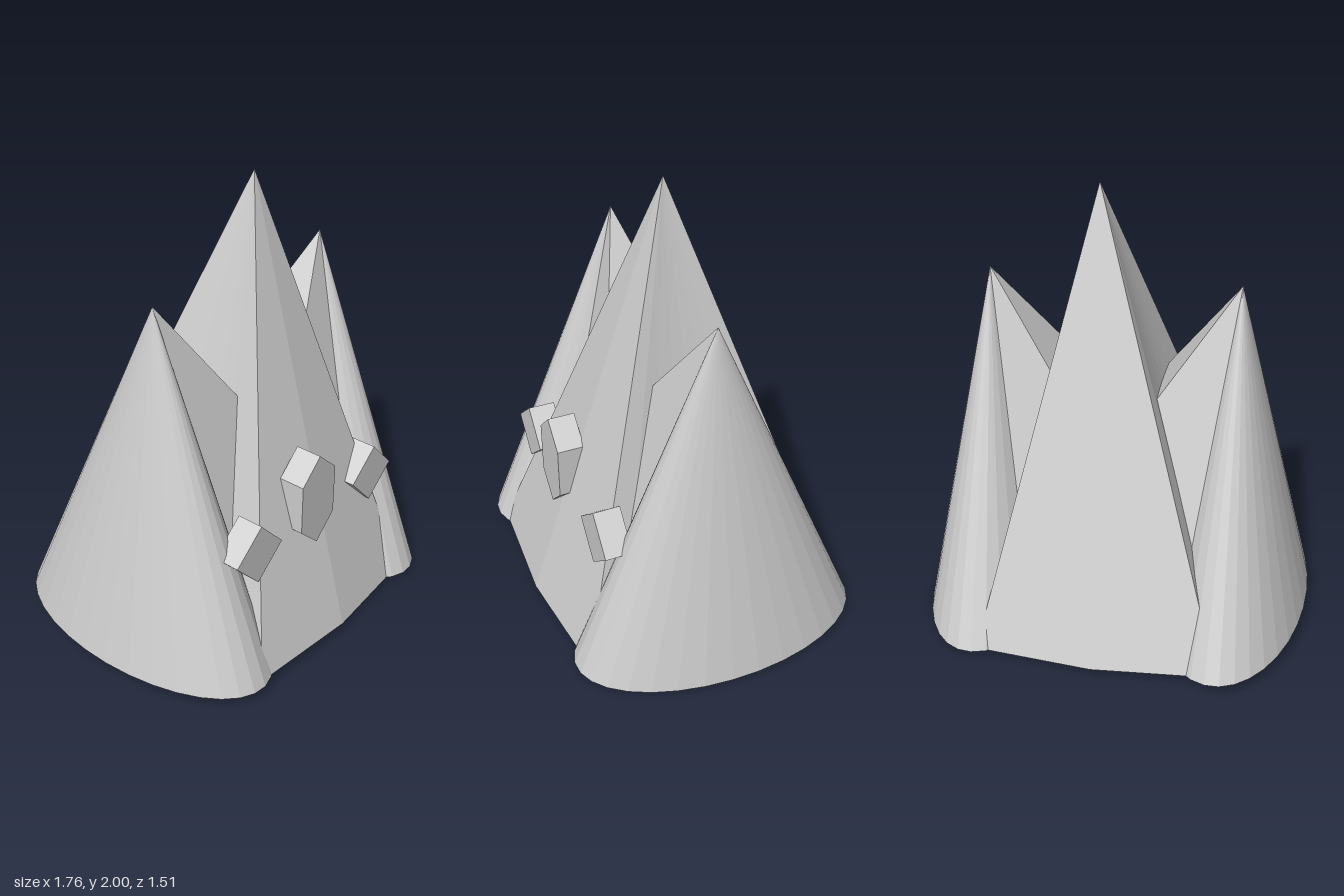
import * as THREE from 'three';

const material = new THREE.MeshStandardMaterial({ color: 0xcccccc, flatShading: true });

// the ground plane tips gently down toward +x
const groundY = (x) => Math.max(0, 0.035 - 0.04 * x);

// faceted cone from a tilted base outline [x, z] up to one tip
function peak(name, tip, outline) {
  const pos = [];
  const floor = (p) => [p[0], groundY(p[0]), p[1]];
  const centre = floor([tip[0], tip[2]]);
  outline.forEach((p, i) => {
    const a = floor(p);
    const b = floor(outline[(i + 1) % outline.length]);
    pos.push(...a, ...tip, ...b, ...centre, ...a, ...b);
  });
  const geometry = new THREE.BufferGeometry();
  geometry.setAttribute('position', new THREE.Float32BufferAttribute(pos, 3));
  geometry.computeVertexNormals();
  const mesh = new THREE.Mesh(geometry, material);
  mesh.name = name;
  return mesh;
}

// outline of a side peak: leaning ellipse outside, long flat faces inside
function sideOutline(sign) {
  const points = [];
  const start = 0.64, end = 5.26, steps = 24;
  for (let i = 0; i <= steps; i++) {
    const a = start + ((end - start) * i) / steps;
    points.push([-0.535 + 0.335 * Math.cos(a) + 0.095 * Math.sin(a), 0.11 + 0.645 * Math.sin(a)]);
  }
  points.push([0.42, -0.66], [0.68, 0.42]);
  return points.map(([x, z]) => [x * sign, z * sign]);
}

// outline of the middle peak: broad two-facet front and back, slightly hollow sides
function middleOutline() {
  const half = [[0.67, 0.475], [0.15, 0.64]];
  const from = [-0.38, 0.715], to = [-0.69, -0.47];
  for (let i = 0; i < 8; i++) {
    const t = i / 8;
    half.push([
      from[0] + (to[0] - from[0]) * t + 0.05 * Math.sin(Math.PI * t),
      from[1] + (to[1] - from[1]) * t,
    ]);
  }
  // the back half is the front half turned 180 degrees
  return [...half, ...half.map(([x, z]) => [-x, -z])];
}

// flat plate with a polygonal face, turned a little to the side
function plate(name, corners, centre, roll) {
  const shape = new THREE.Shape(corners.map(([x, y]) => new THREE.Vector2(x, y)));
  const geometry = new THREE.ExtrudeGeometry(shape, { depth: 0.12, bevelEnabled: false });
  geometry.translate(0, 0, -0.06);
  const mesh = new THREE.Mesh(geometry, material);
  mesh.name = name;
  mesh.position.set(...centre);
  mesh.rotation.set(0, 0.2, roll);
  return mesh;
}

export function createModel() {
  const group = new THREE.Group();
  group.name = 'threePeaks';

  // peaks
  group.add(
    peak('middlePeak', [0.11, 2, 0.03], middleOutline()),
    peak('leftHandPeak', [-0.48, 1.61, 0.14], sideOutline(1)),
    peak('rightHandPeak', [0.58, 1.58, -0.08], sideOutline(-1)),
  );

  // plates on the front
  const hexagon = [[0.112, -0.115], [0.112, 0.115], [0, 0.22], [-0.112, 0.115], [-0.112, -0.115], [0, -0.22]];
  const diamond = [[0.145, 0], [0, 0.138], [-0.145, 0], [0, -0.138]];
  group.add(
    plate('middlePlate', hexagon, [0.06, 0.68, 0.47], 0),
    plate('leftHandPlate', diamond, [-0.3, 0.59, 0.52], -0.06),
    plate('rightHandPlate', diamond, [0.49, 0.575, 0.355], -0.06),
  );
  return group;
}
